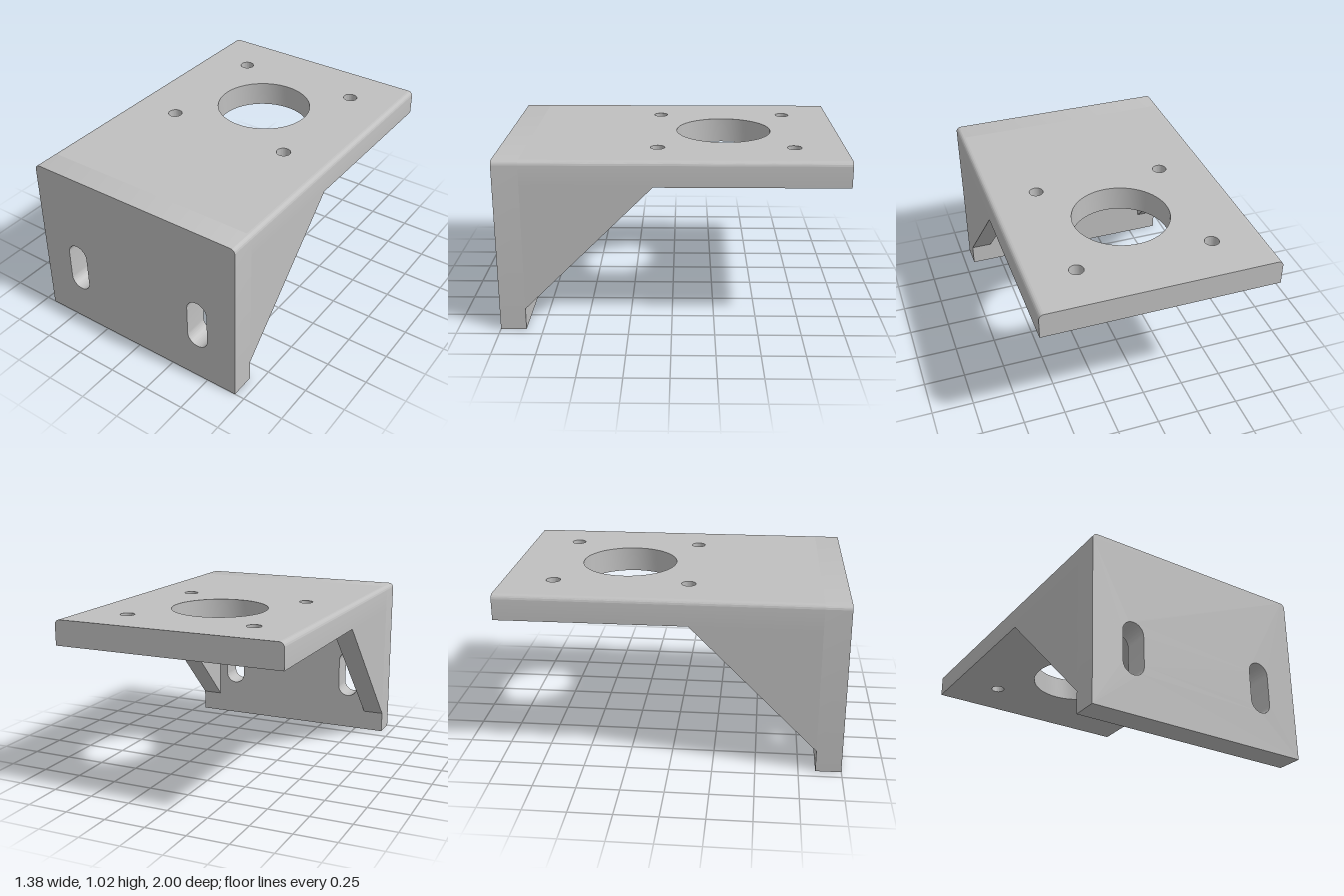
import * as THREE from 'three';
import { toCreasedNormals } from 'three/addons/utils/BufferGeometryUtils.js';

const HALF_W = 0.69, TOP = 1.025, T = 0.15, FILLET = 0.03, RIB = 0.13;
const UNDER = TOP - T, INNER = 1 - T;

function polygon(points) {
  return new THREE.Shape(points.map(([x, y]) => new THREE.Vector2(x, y)));
}

function circleHole(x, y, r) {
  return new THREE.Path().absarc(x, y, r, 0, Math.PI * 2, true);
}

function slotHole(x, low, high, r) {
  const p = new THREE.Path();
  p.absarc(x, high - r, r, 0, Math.PI, false);
  p.absarc(x, low + r, r, Math.PI, Math.PI * 2, false);
  p.closePath();
  return p;
}

// Extrusion with smooth curves and sharp corners
function extrude(shape, depth) {
  const geo = new THREE.ExtrudeGeometry(shape, { depth, bevelEnabled: false, curveSegments: 32 });
  return toCreasedNormals(geo, 0.6);
}

export function createModel() {
  const group = new THREE.Group();
  group.name = 'motorBracket';
  const metal = new THREE.MeshStandardMaterial({ color: 0xbfbfbf });
  metal.name = 'light grey metal';

  const add = (name, geometry) => {
    const mesh = new THREE.Mesh(geometry, metal);
    mesh.name = name;
    group.add(mesh);
  };

  // Front plate with rounded upper corners and two mounting slots
  const front = new THREE.Shape();
  front.moveTo(-HALF_W, 0);
  front.lineTo(HALF_W, 0);
  front.absarc(HALF_W - FILLET, TOP - FILLET, FILLET, 0, Math.PI / 2, false);
  front.absarc(-HALF_W + FILLET, TOP - FILLET, FILLET, Math.PI / 2, Math.PI, false);
  front.closePath();
  for (const s of [-1, 1]) front.holes.push(slotHole(s * 0.435, 0.23, 0.545, 0.067));
  add('frontPlate', extrude(front, T).translate(0, 0, INNER));

  // Top plate with central bore and four screw holes (shape y is -z)
  const w = HALF_W - FILLET;
  const top = polygon([[-w, -INNER], [w, -INNER], [w, 1], [-w, 1]]);
  top.holes.push(circleHole(0, 0.31, 0.287));
  for (const x of [-0.396, 0.396])
    for (const y of [-0.085, 0.707]) top.holes.push(circleHole(x, y, 0.042));
  add('topPlate', extrude(top, T).rotateX(-Math.PI / 2).translate(0, UNDER, 0));

  for (const s of [1, -1]) {
    const side = s > 0 ? 'left' : 'right';

    // Rounded long edge of the top plate
    const edge = new THREE.Shape();
    edge.moveTo(s * w, UNDER);
    edge.lineTo(s * HALF_W, UNDER);
    edge.lineTo(s * HALF_W, TOP - FILLET);
    edge.absarc(s * w, TOP - FILLET, FILLET, s > 0 ? 0 : Math.PI, Math.PI / 2, s < 0);
    edge.closePath();
    add(side + 'TopEdge', extrude(edge, 1 + INNER).translate(0, 0, -1));

    // Triangular side rib (drawn in z and y)
    const rib = polygon([[INNER, 0.13], [INNER, UNDER], [0.105, UNDER]]);
    const ribX = s > 0 ? HALF_W : -HALF_W + RIB;
    add(side + 'Rib', extrude(rib, RIB).rotateY(-Math.PI / 2).translate(ribX, 0, 0));
  }
  return group;
}
